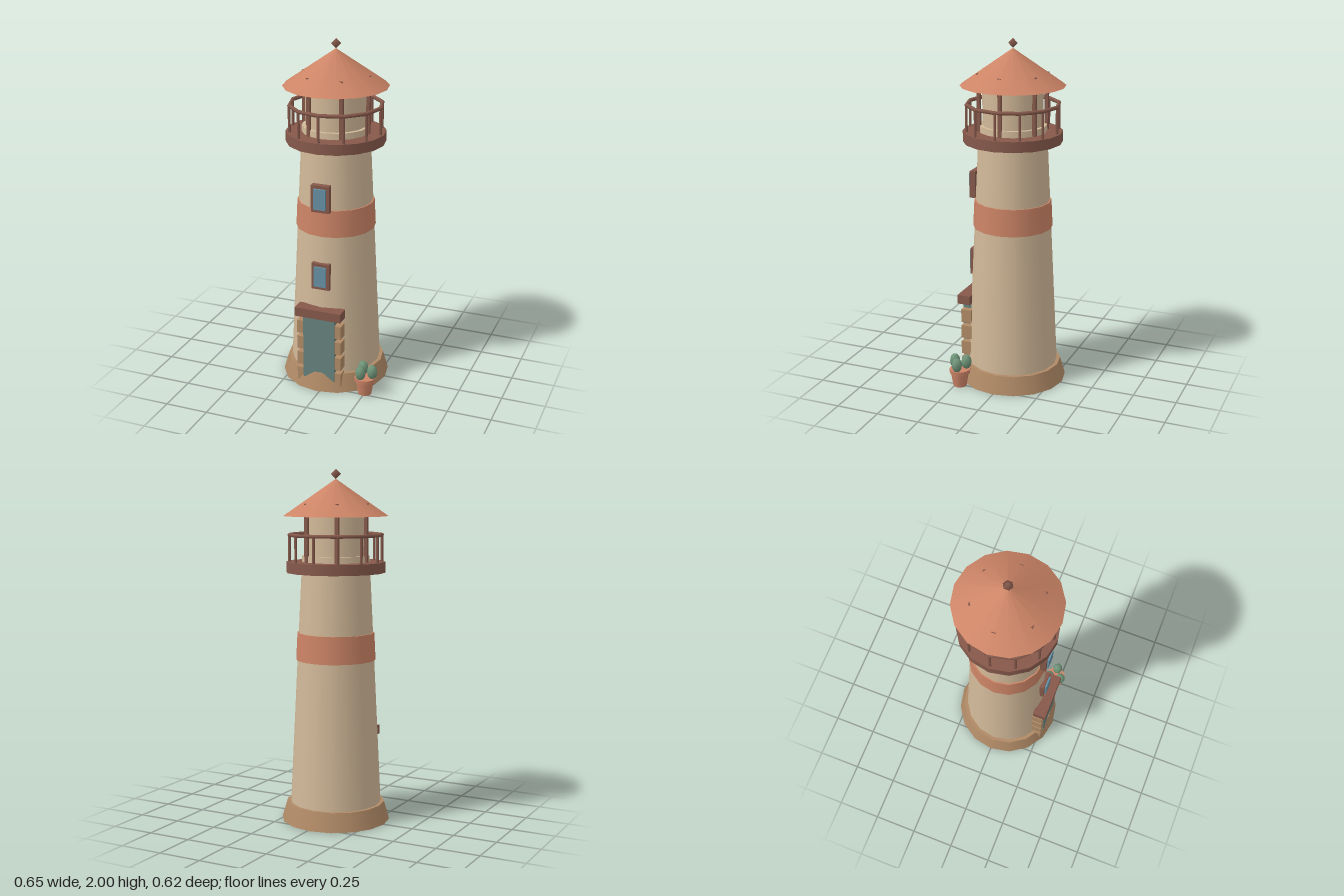
import * as THREE from 'three';

const mat = (name, color) => {
  const m = new THREE.MeshStandardMaterial({ color });
  m.name = name;
  return m;
};

export function createModel() {
  const cream = mat('cream plaster', 0xd2b999);
  const stone = mat('tan stone', 0xb08a66);
  const clay = mat('terracotta', 0xcc8466);
  const wood = mat('dark brown wood', 0x86594b);
  const glass = mat('blue glass', 0x6690a4);
  const teal = mat('teal door paint', 0x66827d);
  const leaf = mat('leaf green', 0x6f9478);

  const model = new THREE.Group();
  model.name = 'lighthouse';
  const tower = new THREE.Group();
  tower.name = 'tower';
  tower.position.x = -0.015;
  model.add(tower);

  const add = (parent, name, geometry, material, x = 0, y = 0, z = 0) => {
    const mesh = new THREE.Mesh(geometry, material);
    mesh.name = name;
    mesh.position.set(x, y, z);
    parent.add(mesh);
    return mesh;
  };
  // Tapered round part between two heights
  const drum = (parent, name, rTop, rBottom, y0, y1, material, sides = 16, x = 0, z = 0) =>
    add(parent, name, new THREE.CylinderGeometry(rTop, rBottom, y1 - y0, sides), material, x, (y0 + y1) / 2, z);
  // Box given by its centre x, height range and depth range
  const block = (name, w, x, y0, y1, z0, z1, material) =>
    add(tower, name, new THREE.BoxGeometry(w, y1 - y0, z1 - z0), material, x, (y0 + y1) / 2, (z0 + z1) / 2);

  // Main body
  drum(tower, 'base', 0.28, 0.31, 0, 0.105, stone);
  drum(tower, 'wall', 0.19, 0.265, 0.002, 1.52, cream);
  drum(tower, 'paintedBand', 0.219, 0.227, 0.93, 1.085, clay);
  drum(tower, 'gallery', 0.28, 0.28, 1.425, 1.485, wood);
  drum(tower, 'lanternRoom', 0.17, 0.17, 1.48, 1.76, cream);

  // Gallery railing
  const rail = add(tower, 'handrail', new THREE.TorusGeometry(0.26, 0.011, 6, 12), wood, 0, 1.635, 0);
  rail.rotation.x = Math.PI / 2;
  for (let i = 0; i < 12; i++) {
    const a = (i * Math.PI) / 6;
    drum(tower, 'railPost', 0.008, 0.008, 1.48, 1.635, wood, 6, 0.26 * Math.cos(a), 0.26 * Math.sin(a));
  }

  // Lantern posts, just breaking through the roof
  for (let i = 0; i < 6; i++) {
    const a = (i * Math.PI) / 3;
    const z = 0.19 * Math.sin(a);
    block('lanternPost', 0.02, 0.19 * Math.cos(a), 1.48, 1.809, z - 0.01, z + 0.01, wood);
  }

  // Roof and finial
  add(tower, 'roof', new THREE.ConeGeometry(0.295, 0.205, 16), clay, 0, 1.8425, 0);
  const finial = add(tower, 'finial', new THREE.SphereGeometry(0.028, 6, 2), wood, 0, 1.972, 0);
  finial.rotation.y = Math.PI / 6;

  // Windows
  for (const y of [0.695, 1.158]) {
    block('windowFrame', 0.107, 0, y - 0.078, y + 0.078, 0.21, 0.245, wood);
    block('windowPane', 0.072, 0, y - 0.06, y + 0.06, 0.235, 0.255, glass);
  }

  // Doorway
  block('door', 0.19, 0, 0.05, 0.455, 0.22, 0.275, teal);
  block('lintel', 0.277, 0, 0.452, 0.505, 0.215, 0.293, wood);
  for (const side of [-1, 1]) {
    for (let i = 0; i < 4; i++) {
      const y = 0.077 + i * 0.1;
      block('doorStone', 0.06, side * 0.104, y - 0.039, y + 0.039, 0.21, 0.272, stone);
    }
  }

  // Potted plant beside the door
  const plant = new THREE.Group();
  plant.name = 'pottedPlant';
  plant.position.set(0.25, 0, 0.225);
  model.add(plant);
  drum(plant, 'pot', 0.054, 0.039, 0, 0.09, clay, 12);
  drum(plant, 'potRim', 0.061, 0.059, 0.08, 0.105, clay, 12);
  for (const [x, z] of [[-0.023, -0.032], [0.043, -0.001], [-0.015, 0.037]]) {
    add(plant, 'shrub', new THREE.SphereGeometry(0.031, 8, 6), leaf, x, 0.143, z).scale.y = 1.38;
  }
  return model;
}
